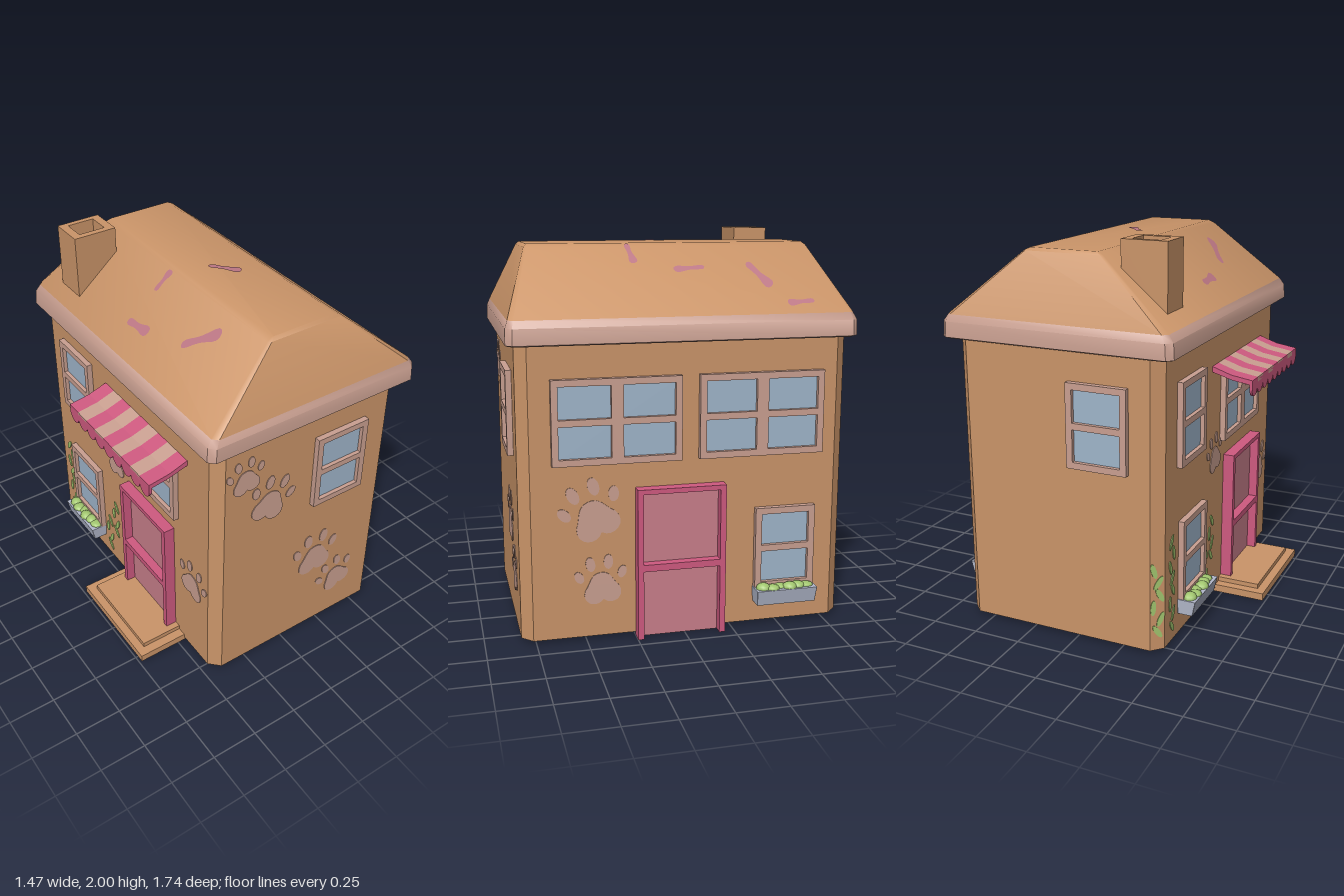
import * as THREE from 'three';
import { toCreasedNormals } from 'three/addons/utils/BufferGeometryUtils.js';

const mat = (name, color, side = THREE.FrontSide) => {
  const m = new THREE.MeshStandardMaterial({ color, side });
  m.name = name;
  return m;
};

export function createModel() {
  const house = new THREE.Group();
  house.name = 'house';
  const wall = mat('wall tan', 0xcb9569, THREE.DoubleSide);
  const trim = mat('trim blush', 0xcaa091);
  const pink = mat('deep pink', 0xcf5a80);
  const panel = mat('door rose', 0xc97f8b);
  const glass = mat('glass blue', 0xa0b6cb);
  const planterGrey = mat('planter grey', 0xb4bacd);
  const leaf = mat('leaf green', 0xa3c870);
  const splotch = mat('roof mauve', 0xbb7684, THREE.DoubleSide);

  const mesh = (name, geo, material, parent = house) => {
    const m = new THREE.Mesh(geo, material);
    m.name = name;
    parent.add(m);
    return m;
  };
  const box = (name, x0, x1, y0, y1, z0, z1, material, parent) => {
    const m = mesh(name, new THREE.BoxGeometry(x1 - x0, y1 - y0, z1 - z0), material, parent);
    m.position.set((x0 + x1) / 2, (y0 + y1) / 2, (z0 + z1) / 2);
    return m;
  };
  const extrude = (shape, depth, z = 0, curveSegments = 8) =>
    new THREE.ExtrudeGeometry(shape, { depth, bevelEnabled: false, curveSegments }).translate(0, 0, z);
  const rect = (x0, x1, y0, y1, Type = THREE.Shape) =>
    new Type([[x0, y0], [x1, y0], [x1, y1], [x0, y1]].map(p => new THREE.Vector2(...p)));

  // Horizontal rectangle with chamfered corners, as one loft section
  const section = (y, x0, x1, z0, z1, c) => [
    [x1, y, z0 + c], [x1, y, z1 - c], [x1 - c, y, z1], [x0 + c, y, z1],
    [x0, y, z1 - c], [x0, y, z0 + c], [x0 + c, y, z0], [x1 - c, y, z0]];
  const loft = (loops, capBottom, capTop) => {
    const v = [], n = loops[0].length, top = loops[loops.length - 1];
    for (let k = 0; k + 1 < loops.length; k++) for (let i = 0; i < n; i++) {
      const j = (i + 1) % n, a = loops[k][i], b = loops[k][j], c = loops[k + 1][j], d = loops[k + 1][i];
      v.push(...a, ...d, ...c, ...a, ...c, ...b);
    }
    for (let i = 1; i + 1 < n; i++) {
      if (capBottom) v.push(...loops[0][0], ...loops[0][i], ...loops[0][i + 1]);
      if (capTop) v.push(...top[0], ...top[i + 1], ...top[i]);
    }
    const g = new THREE.BufferGeometry();
    g.setAttribute('position', new THREE.Float32BufferAttribute(v, 3));
    g.computeVertexNormals();
    return toCreasedNormals(g, 0.75);
  };

  // Walls: hollow shell, open below
  mesh('walls', loft([section(0.02, -0.46, 0.635, -0.84, 0.82, 0.055),
    section(1.5, -0.46, 0.635, -0.84, 0.82, 0.055)]), wall);

  // Roof with a blush band at the eaves
  const roofEdge = section(1.61, -0.49, 0.68, -0.85, 0.85, 0.025);
  mesh('eaves', loft([section(1.49, -0.505, 0.695, -0.85, 0.85, 0.03),
    section(1.497, -0.52, 0.71, -0.865, 0.865, 0.03),
    section(1.575, -0.515, 0.705, -0.863, 0.863, 0.03), roofEdge], true, false), trim);
  mesh('roof', loft([roofEdge, section(1.925, -0.115, 0.305, -0.73, 0.73, 0.012),
    section(1.94, -0.085, 0.275, -0.715, 0.715, 0.005)], false, true), wall);

  // Chimney with a square flue
  const stack = rect(-0.42, -0.185, 0.495, 0.68);
  stack.holes.push(rect(-0.375, -0.23, 0.53, 0.65, THREE.Path));
  mesh('chimney', extrude(stack, 0.4).rotateX(-Math.PI / 2).translate(0, 1.6, 0), wall);

  // Footprint patches draped over the roof: x, z, length, width, turn
  const roofY = x => 1.94 - Math.max(0, Math.abs(x - 0.095) - 0.185) * 0.835;
  [[-0.36, 0, 0.085, 0.036, 1.5], [-0.165, -0.07, 0.05, 0.034, 0], [0.095, 0.09, 0.085, 0.04, 0.9],
    [-0.25, 0.39, 0.1, 0.045, 0.9], [0.345, 0.21, 0.055, 0.034, -0.2], [0.43, -0.07, 0.08, 0.028, 1.5],
    [0.47, -0.42, 0.08, 0.045, -0.6], [0.62, -0.59, 0.07, 0.028, 1.5]].forEach(([x, z, l, w, t]) => {
    const pts = [];
    for (let i = 0; i < 20; i++) {
      const a = i / 20 * Math.PI * 2, u = Math.cos(a) * l;
      const h = Math.sin(a) * w * (0.75 + 0.4 * Math.cos(2 * a) + 0.2 * Math.cos(a));
      pts.push(new THREE.Vector2(x + u * Math.cos(t) - h * Math.sin(t), -(z + u * Math.sin(t) + h * Math.cos(t))));
    }
    const g = new THREE.ShapeGeometry(new THREE.Shape(pts)).rotateX(-Math.PI / 2);
    const p = g.attributes.position;
    for (let i = 0; i < p.count; i++) p.setY(i, roofY(p.getX(i)) + 0.006);
    g.computeVertexNormals();
    mesh('roofPatch', g, splotch);
  });

  // Wall frames: local x runs along the wall, local z points outwards
  const side = (name, x, z, turn) => {
    const g = new THREE.Group();
    g.name = name;
    g.position.set(x, 0, z);
    g.rotation.y = turn;
    house.add(g);
    return g;
  };
  const front = side('frontWall', 0, 0.82, 0);
  const back = side('backWall', 0, -0.84, Math.PI);
  const right = side('doubleWindowWall', 0.635, 0, Math.PI / 2);
  const left = side('awningWall', -0.46, 0, -Math.PI / 2);
  const corner = side('vineCorner', -0.4325, -0.8125, -Math.PI * 3 / 4);

  const addWindow = (parent, x0, x1, y0, y1, cols = 1) => {
    const f = rect(x0, x1, y0, y1), m = 0.033, gap = 0.06;
    const w = (x1 - x0 - 2 * m - gap * (cols - 1)) / cols, h = (y1 - y0 - 3 * m) / 2;
    for (let c = 0; c < cols; c++) for (let r = 0; r < 2; r++) {
      const x = x0 + m + c * (w + gap), y = y0 + m + r * (h + m);
      f.holes.push(rect(x, x + w, y, y + h, THREE.Path));
    }
    mesh('windowFrame', extrude(f, 0.03), trim, parent);
    box('windowGlass', x0 + 0.01, x1 - 0.01, y0 + 0.01, y1 - 0.01, 0.001, 0.009, glass, parent);
  };
  addWindow(front, 0.125, 0.44, 0.92, 1.345);
  addWindow(back, -0.02, 0.295, 0.92, 1.345);
  addWindow(right, -0.66, -0.02, 0.905, 1.325, 2);
  addWindow(right, 0.07, 0.71, 0.905, 1.325, 2);
  addWindow(right, 0.365, 0.68, 0.205, 0.63);
  addWindow(left, -0.65, -0.335, 0.92, 1.345);
  addWindow(left, -0.06, 0.5, 0.875, 1.3, 2);
  addWindow(left, -0.62, -0.305, 0.205, 0.63);

  // Doors: two recessed panels in a deep frame
  const addDoor = (parent, cx) => {
    const w = 0.225, i = 0.195;
    const f = new THREE.Shape([[-w, 0], [-i, 0], [-i, 0.355], [i, 0.355], [i, 0], [w, 0], [w, 0.775], [-w, 0.775]]
      .map(p => new THREE.Vector2(...p)));
    f.holes.push(rect(-i, i, 0.39, 0.75, THREE.Path));
    mesh('doorFrame', extrude(f, 0.075, -0.015), pink, parent).position.x = cx;
    box('doorPanel', cx - i, cx + i, 0, 0.76, 0.002, 0.012, panel, parent);
  };
  addDoor(right, -0.025);
  addDoor(left, 0.23);

  // Planter boxes, wider at the top, with leafy tufts
  const addPlanter = (parent, cx) => {
    mesh('planter', loft([section(0.13, cx - 0.155, cx + 0.155, 0, 0.078, 0.001),
      section(0.21, cx - 0.16, cx + 0.16, 0, 0.095, 0.001)], true, true), planterGrey, parent);
    for (let i = 0; i < 6; i++) {
      const t = mesh('plantTuft', new THREE.SphereGeometry(1, 10, 6), leaf, parent);
      t.position.set(cx - 0.115 + i * 0.046, 0.21, 0.05 + 0.012 * Math.sin(i * 2.4));
      t.scale.set(0.04, 0.022 + 0.007 * Math.cos(i * 1.9), 0.036);
    }
  };
  addPlanter(right, 0.52);
  addPlanter(left, -0.465);

  // Painted marks, set through the wall so they show on both faces
  const ellipse = (x, y, rx, ry, turn = 0) => new THREE.Shape().absellipse(x, y, rx, ry, 0, Math.PI * 2, false, turn);
  const pad = new THREE.Shape();
  pad.moveTo(0, -0.07);
  pad.bezierCurveTo(0.04, -0.12, 0.13, -0.08, 0.095, -0.005);
  pad.bezierCurveTo(0.06, 0.03, 0.06, 0.085, 0, 0.085);
  pad.bezierCurveTo(-0.06, 0.085, -0.06, 0.03, -0.095, -0.005);
  pad.bezierCurveTo(-0.13, -0.08, -0.04, -0.12, 0, -0.07);
  const pawGeo = extrude([pad, ellipse(-0.12, 0.075, 0.024, 0.036, 0.4), ellipse(-0.05, 0.14, 0.026, 0.042, 0.1),
    ellipse(0.05, 0.14, 0.026, 0.042, -0.1), ellipse(0.12, 0.07, 0.024, 0.036, -0.4)], 0.008, -0.004);
  const addPaw = (parent, x, y, size, turn) => {
    const p = mesh('pawMark', pawGeo, trim, parent);
    p.position.set(x, y, 0);
    p.scale.set(size, size, 1);
    p.rotation.z = turn;
  };
  addPaw(front, -0.285, 1.265, 0.75, 0.1);
  addPaw(front, -0.14, 1.05, 0.95, -0.35);
  addPaw(front, 0.19, 0.505, 1, 0);
  addPaw(front, 0.36, 0.27, 0.85, 0.35);
  addPaw(right, -0.45, 0.63, 1.1, 0.4);
  addPaw(right, -0.42, 0.275, 0.9, 0.1);
  addPaw(left, -0.13, 0.8, 0.75, 0.2);
  addPaw(left, 0.62, 0.5, 0.85, -0.2);

  const addVine = (parent, x, y0, count) => {
    const leaves = [];
    for (let i = 0; i < count; i++)
      leaves.push(ellipse(x + 0.022 * Math.sin(i * 2.3), y0 + i * 0.065, 0.014, 0.04, 0.6 * Math.cos(i * 2.3)));
    mesh('vine', extrude(leaves, 0.008, -0.004), leaf, parent);
  };
  addVine(left, -0.7, 0.1, 8);
  addVine(left, -0.25, 0.1, 4);
  addVine(left, -0.17, 0.26, 4);
  addVine(corner, 0, 0.12, 6);

  // Porch steps
  box('lowerStep', -0.735, -0.44, 0, 0.04, -0.08, 0.54, wall);
  box('upperStep', -0.69, -0.44, 0.04, 0.065, -0.03, 0.49, wall);

  // Striped awning with a scalloped lip
  const slope = new THREE.Shape([[-0.45, 1.315], [-0.56, 1.278], [-0.675, 1.26], [-0.675, 1.235], [-0.57, 1.25], [-0.45, 1.285]]
    .map(p => new THREE.Vector2(...p)));
  const stripes = 9, w = 0.775 / stripes;
  for (let i = 0; i < stripes; i++) {
    const z = -0.19 + i * w;
    mesh('awningStripe', extrude(slope, w, z), i % 2 ? trim : pink);
    const scallop = mesh('awningScallop', new THREE.CylinderGeometry(w / 2, w / 2, 0.014, 16), pink);
    scallop.rotation.z = Math.PI / 2;
    scallop.position.set(-0.667, 1.214, z + w / 2);
  }
  box('awningLip', -0.675, -0.659, 1.21, 1.25, -0.19, 0.585, pink);

  return house;
}
